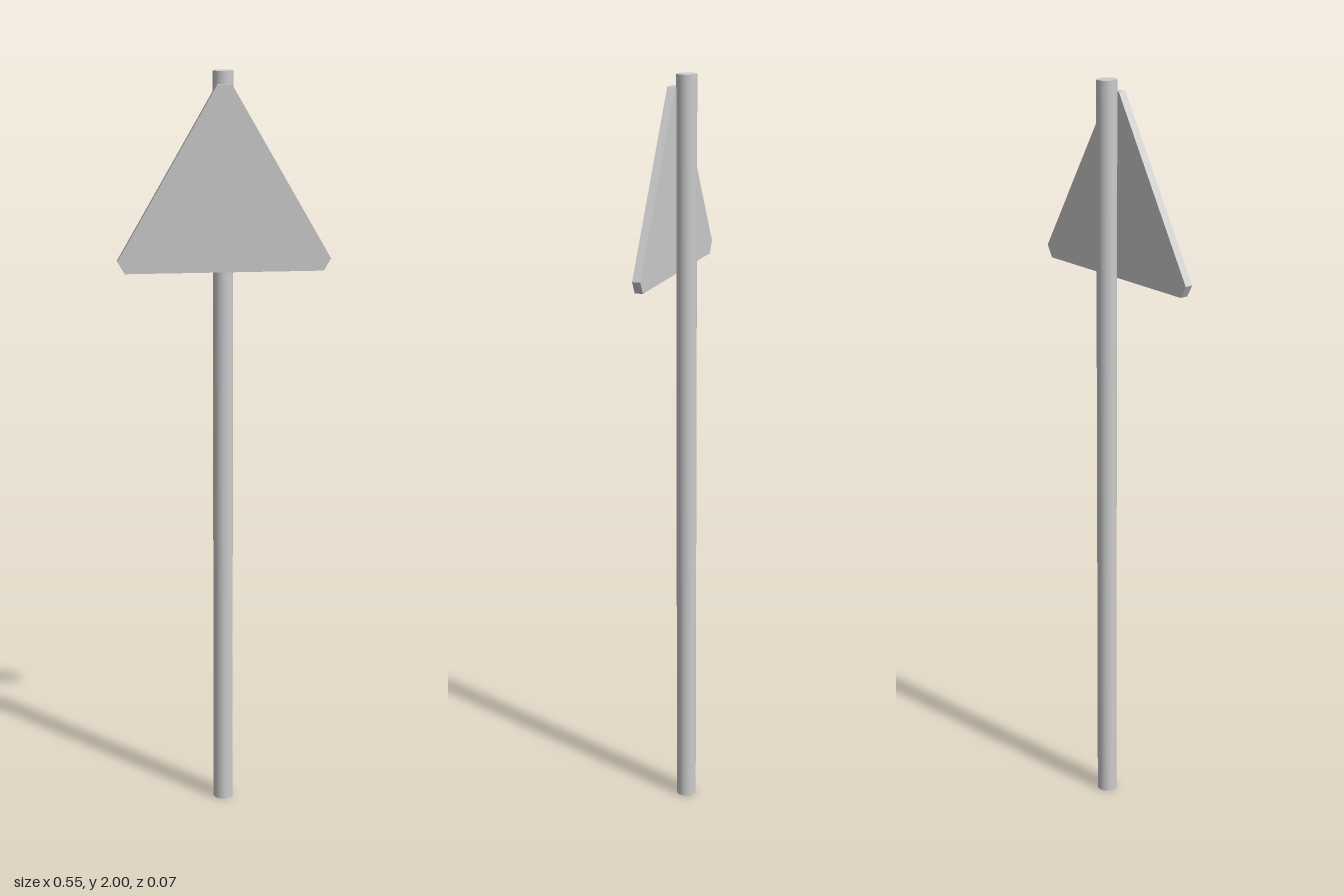
import * as THREE from 'three';

export function createModel() {
  const group = new THREE.Group();
  const material = new THREE.MeshStandardMaterial({ color: 0xcccccc });

  // Round upright post, standing just behind the plate
  const radius = 0.0265, height = 2;
  const post = new THREE.Mesh(new THREE.CylinderGeometry(radius, radius, height, 32), material);
  post.name = 'post';
  post.position.set(0, height / 2, -0.0095);
  group.add(post);

  // Triangular plate with clipped corners: right half, then mirrored
  const half = [[0.258, 1.492], [0.276, 1.524], [0.0185, 1.968]];
  const outline = [...half, ...half.map(([x, y]) => [-x, y]).reverse()];
  const shape = new THREE.Shape(outline.map(([x, y]) => new THREE.Vector2(x, y)));
  const plate = new THREE.Mesh(
    new THREE.ExtrudeGeometry(shape, { depth: 0.0215, bevelEnabled: false }), material);
  plate.name = 'signPlate';
  plate.position.z = 0.0142;
  group.add(plate);

  return group;
}
